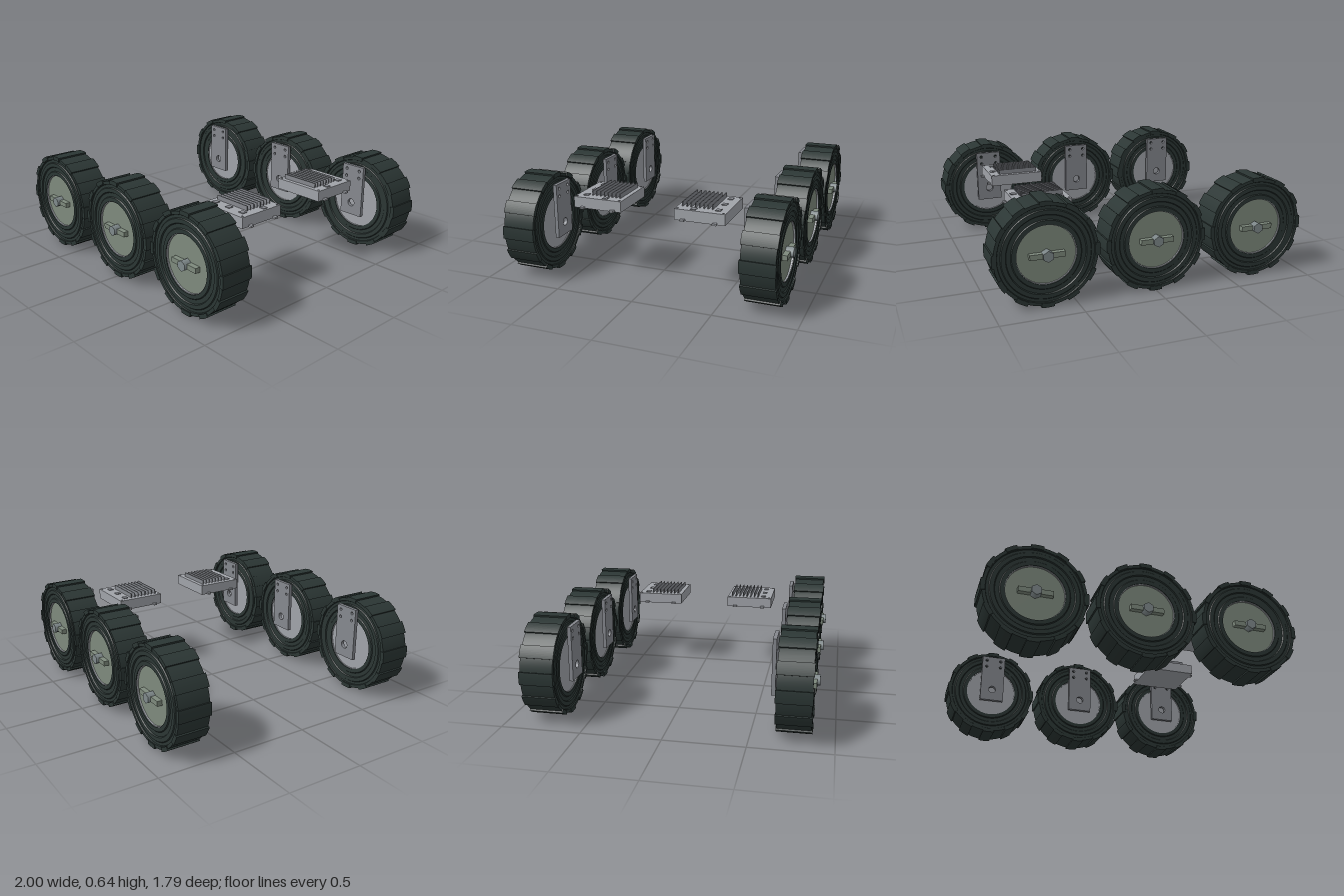
import * as THREE from 'three';
import { toCreasedNormals } from 'three/addons/utils/BufferGeometryUtils.js';

const flat = (name, color) => {
  const m = new THREE.MeshStandardMaterial({ color });
  m.name = name;
  return m;
};

export function createModel() {
  const rubber = flat('dark rubber', 0x2b3634);
  const capGreen = flat('grey green', 0x7e8a7d);
  const steel = flat('light steel', 0xa0a3a9);
  const plateGrey = flat('plate grey', 0x85888e);
  const boltGrey = flat('bolt grey', 0x808a8c);

  const add = (parent, name, geo, mat, x = 0, y = 0, z = 0) => {
    const m = new THREE.Mesh(geo, mat);
    m.name = name;
    m.position.set(x, y, z);
    parent.add(m);
    return m;
  };
  const box = (w, h, d) => new THREE.BoxGeometry(w, h, d);
  // Cylinder lying along z
  const disc = (r, depth, sides = 48) =>
    new THREE.CylinderGeometry(r, r, depth, sides).rotateX(Math.PI / 2);

  // Tyre cross-section (radius, offset): sidewalls step inwards in rings
  const side = [[0.18, 0.1], [0.205, 0.1], [0.21, 0.094], [0.235, 0.094], [0.24, 0.101],
    [0.265, 0.101], [0.27, 0.095], [0.287, 0.095], [0.29, 0.102], [0.31, 0.102]];
  const profile = [
    ...side.map(([r, z]) => new THREE.Vector2(r, -z)),
    ...side.slice().reverse().map(([r, z]) => new THREE.Vector2(r, z)),
    new THREE.Vector2(0.18, -0.1),
  ];
  const tyreGeo = toCreasedNormals(new THREE.LatheGeometry(profile, 72).rotateX(Math.PI / 2), 0.5);

  // Raised tread block: a ring sector across the whole tyre
  const half = 0.125;
  const sector = new THREE.Shape();
  sector.absarc(0, 0, 0.32, -half, half, false);
  sector.absarc(0, 0, 0.293, half, -half, true);
  const blockGeo = new THREE.ExtrudeGeometry(sector, { depth: 0.214, bevelEnabled: false, curveSegments: 4 })
    .translate(0, 0, -0.107);

  // Mounting plate with four screw holes and an axle hole
  const plate = new THREE.Shape();
  plate.moveTo(-0.085, -0.085);
  plate.lineTo(0.085, -0.085);
  plate.lineTo(0.085, 0.265);
  plate.lineTo(-0.085, 0.265);
  plate.closePath();
  const hole = (x, y, r) => plate.holes.push(new THREE.Path().absarc(x, y, r, 0, Math.PI * 2, true));
  hole(0, 0, 0.026);
  for (const x of [-0.052, 0.052]) for (const y of [0.185, 0.235]) hole(x, y, 0.01);
  const plateGeo = new THREE.ExtrudeGeometry(plate, { depth: 0.024, bevelEnabled: false, curveSegments: 12 });

  // Rim barrel, open at both ends
  const wall = [[0.176, -0.095], [0.182, -0.095], [0.182, 0.095], [0.176, 0.095], [0.176, -0.095]]
    .map(([r, z]) => new THREE.Vector2(r, z));
  const rimGeo = toCreasedNormals(new THREE.LatheGeometry(wall, 48).rotateX(Math.PI / 2), 0.5);

  // Wheel whose outer face looks along +z
  function makeWheel() {
    const w = new THREE.Group();
    w.name = 'wheel';
    add(w, 'tyre', tyreGeo, rubber);
    for (let i = 0; i < 12; i++)
      add(w, 'treadBlock', blockGeo, rubber).rotation.z = (i * Math.PI) / 6;
    add(w, 'rim', rimGeo, steel);
    add(w, 'outerDisc', disc(0.178, 0.02), capGreen, 0, 0, 0.075);
    add(w, 'innerDisc', disc(0.178, 0.02), steel, 0, 0, -0.08);
    add(w, 'hubBar', box(0.21, 0.032, 0.034), capGreen, 0, 0, 0.1);
    add(w, 'hubBolt', disc(0.034, 0.055, 6), boltGrey, 0, 0, 0.107);
    add(w, 'mountPlate', plateGeo, plateGrey, 0, 0, -0.147);
    return w;
  }

  // Finned control box; s mirrors the layout from front to back
  function makeBox(s) {
    const g = new THREE.Group();
    g.name = 'controlBox';
    add(g, 'housing', box(0.35, 0.07, 0.32), steel, 0.58, 0.49, s * 0.335);
    for (let i = 0; i < 8; i++)
      add(g, 'coolingFin', box(0.26, 0.03, 0.006), plateGrey, 0.565, 0.54, s * (0.207 + i * 0.027));
    for (const [x, z] of [[0.46, 0.435], [0.577, 0.435], [0.695, 0.435], [0.724, 0.29]])
      add(g, 'connector', box(0.036, 0.006, 0.032), plateGrey, x, 0.527, s * z);
    for (const x of [0.395, 0.765]) for (const z of [0.232, 0.433])
      add(g, 'mountingEar', box(0.022, 0.012, 0.026), steel, x, 0.461, s * z);
    for (const x of [0.42, 0.74]) for (const z of [0.19, 0.48])
      add(g, 'cornerScrew', new THREE.CylinderGeometry(0.007, 0.007, 0.004, 10), plateGrey, x, 0.526, s * z);
    return g;
  }

  const model = new THREE.Group();
  model.name = 'sixWheelChassis';
  for (const s of [1, -1]) {
    for (const x of [-0.68, 0, 0.68]) {
      const w = makeWheel();
      w.position.set(x, 0.32, s * 0.76);
      if (s < 0) w.rotation.y = Math.PI;
      model.add(w);
    }
    model.add(makeBox(s));
  }
  return model;
}
